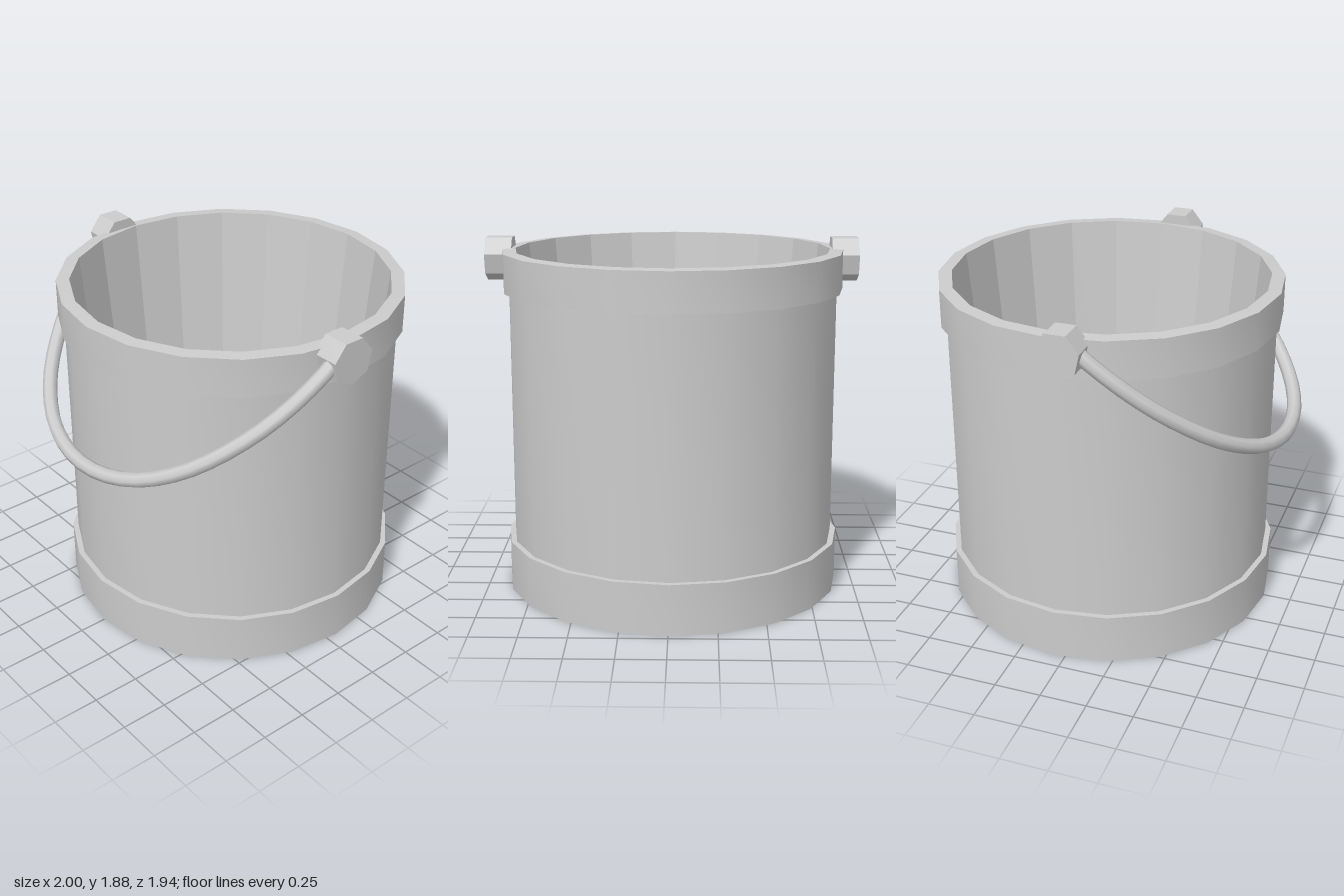
import * as THREE from 'three';
import { toCreasedNormals } from 'three/addons/utils/BufferGeometryUtils.js';

const SIDES = 20;
const smooth = new THREE.MeshStandardMaterial({ color: 0xcccccc });
const faceted = new THREE.MeshStandardMaterial({ color: 0xcccccc, flatShading: true });

function addMesh(parent, name, geometry, material) {
  const mesh = new THREE.Mesh(geometry, material);
  mesh.name = name;
  parent.add(mesh);
  return mesh;
}

// Turned part from [radius, height] pairs
function turned(profile) {
  return new THREE.LatheGeometry(profile.map(([r, y]) => new THREE.Vector2(r, y)), SIDES);
}

export function createModel() {
  const model = new THREE.Group();
  model.name = 'bucket';

  // Vessel: smooth outside with a base band and a rim band
  const vessel = new THREE.Group();
  vessel.name = 'vessel';
  vessel.position.set(-0.005, 0, -0.06);
  model.add(vessel);
  const outside = turned([
    [0, 0], [0.91, 0], [0.91, 0.27], [0.88, 0.27],
    [0.88, 1.62], [0.91, 1.62], [0.91, 1.825], [0.84, 1.83],
  ]);
  addMesh(vessel, 'outerWall', toCreasedNormals(outside, 0.6), smooth);

  // Tapered, faceted inside and floor
  addMesh(vessel, 'innerWall', turned([[0.84, 1.83], [0.68, 0.15], [0, 0.15]]), faceted);

  // Seven-sided handle knobs
  for (const side of [-1, 1]) {
    const knob = new THREE.CylinderGeometry(0.123, 0.123, 0.143, 7);
    knob.rotateY(-Math.PI / 2); // one corner to -x
    knob.rotateZ(Math.PI / 2); // axis along x, that corner down
    const mesh = addMesh(model, side > 0 ? 'leftKnob' : 'rightKnob', knob, faceted);
    mesh.position.set(side * 0.9285, 1.77, 0.023);
  }

  // Handle: a hanging arc in a tilted plane, [x, fraction of the way down]
  const half = [[0.94, -0.06], [0.935, 0.03], [0.89, 0.24], [0.8, 0.46], [0.62, 0.72], [0.41, 0.89], [0.2, 0.975]];
  const arc = [
    ...half.map(([x, f]) => [-x, f]),
    [0, 1],
    ...half.slice().reverse(),
  ].map(([x, f]) => new THREE.Vector3(x + 0.01, 1.755 - 0.68 * f, 0.125 + 0.805 * f));
  const path = new THREE.CatmullRomCurve3(arc);
  addMesh(model, 'handle', new THREE.TubeGeometry(path, 32, 0.039, 8), smooth);

  return model;
}
